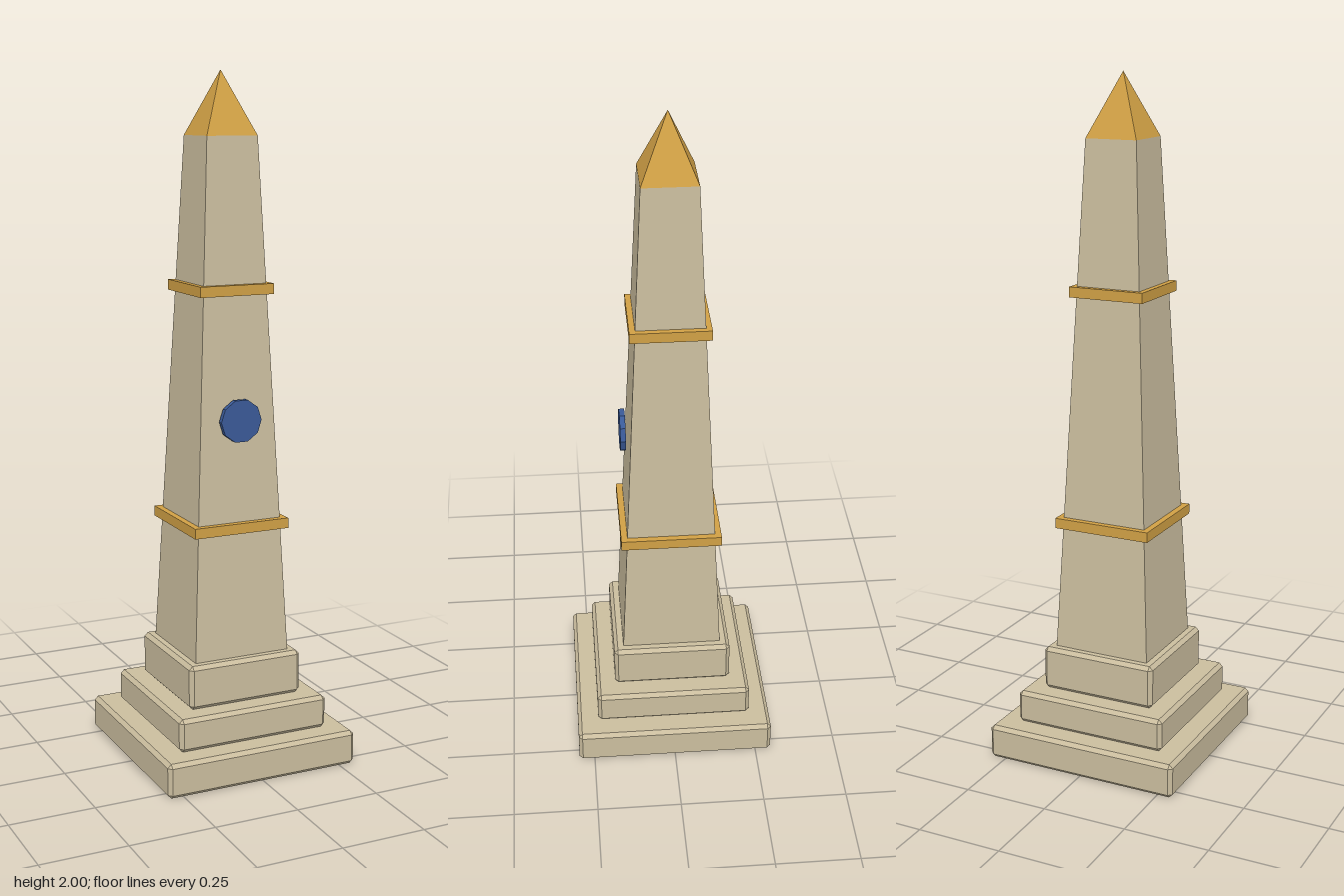
import * as THREE from 'three';
import { ConvexGeometry } from 'three/addons/geometries/ConvexGeometry.js';

function material(name, color) {
  const m = new THREE.MeshStandardMaterial({ color });
  m.name = name;
  return m;
}

// Square box with every edge chamfered by b
function chamferedBlock(half, height, b) {
  const h = height / 2, points = [];
  for (const x of [-1, 1]) for (const y of [-1, 1]) for (const z of [-1, 1]) {
    points.push(
      new THREE.Vector3(x * half, y * (h - b), z * (half - b)),
      new THREE.Vector3(x * (half - b), y * h, z * (half - b)),
      new THREE.Vector3(x * (half - b), y * (h - b), z * half)
    );
  }
  return new ConvexGeometry(points);
}

// Four-sided taper with flat faces, sides parallel to the axes
function squareTaper(topHalf, bottomHalf, height) {
  const g = new THREE.CylinderGeometry(topHalf * Math.SQRT2, bottomHalf * Math.SQRT2, height, 4)
    .rotateY(Math.PI / 4).toNonIndexed();
  g.computeVertexNormals();
  return g;
}

export function createModel() {
  const group = new THREE.Group();
  group.name = 'obelisk';
  const stone = material('sandstone', 0xcabd9e);
  const gold = material('gold', 0xd0a045);
  const blue = material('blue', 0x3a5a98);

  const add = (name, geometry, mat, y, z = 0) => {
    const mesh = new THREE.Mesh(geometry, mat);
    mesh.name = name;
    mesh.position.set(0, y, z);
    group.add(mesh);
  };

  // Stepped plinth: half width, bottom, top
  [[0.297, 0, 0.102], [0.234, 0.102, 0.2], [0.177, 0.2, 0.33]].forEach(([half, y0, y1], i) =>
    add(`plinthStep${i + 1}`, chamferedBlock(half, y1 - y0, 0.011), stone, (y0 + y1) / 2));

  // Tapering shaft and pyramid cap
  add('shaft', squareTaper(0.078, 0.148, 1.49), stone, 1.075);
  add('cap', squareTaper(0, 0.078, 0.18), gold, 1.91);

  // Gold bands
  add('lowerBand', new THREE.BoxGeometry(0.296, 0.03, 0.296), gold, 0.714);
  add('upperBand', new THREE.BoxGeometry(0.228, 0.03, 0.228), gold, 1.394);

  // Ten-sided medallion on the front
  const disc = new THREE.CylinderGeometry(0.063, 0.063, 0.016, 10, 1, false, Math.PI / 2)
    .rotateX(Math.PI / 2).toNonIndexed();
  disc.computeVertexNormals();
  add('medallion', disc, blue, 1.026, 0.133);

  return group;
}
